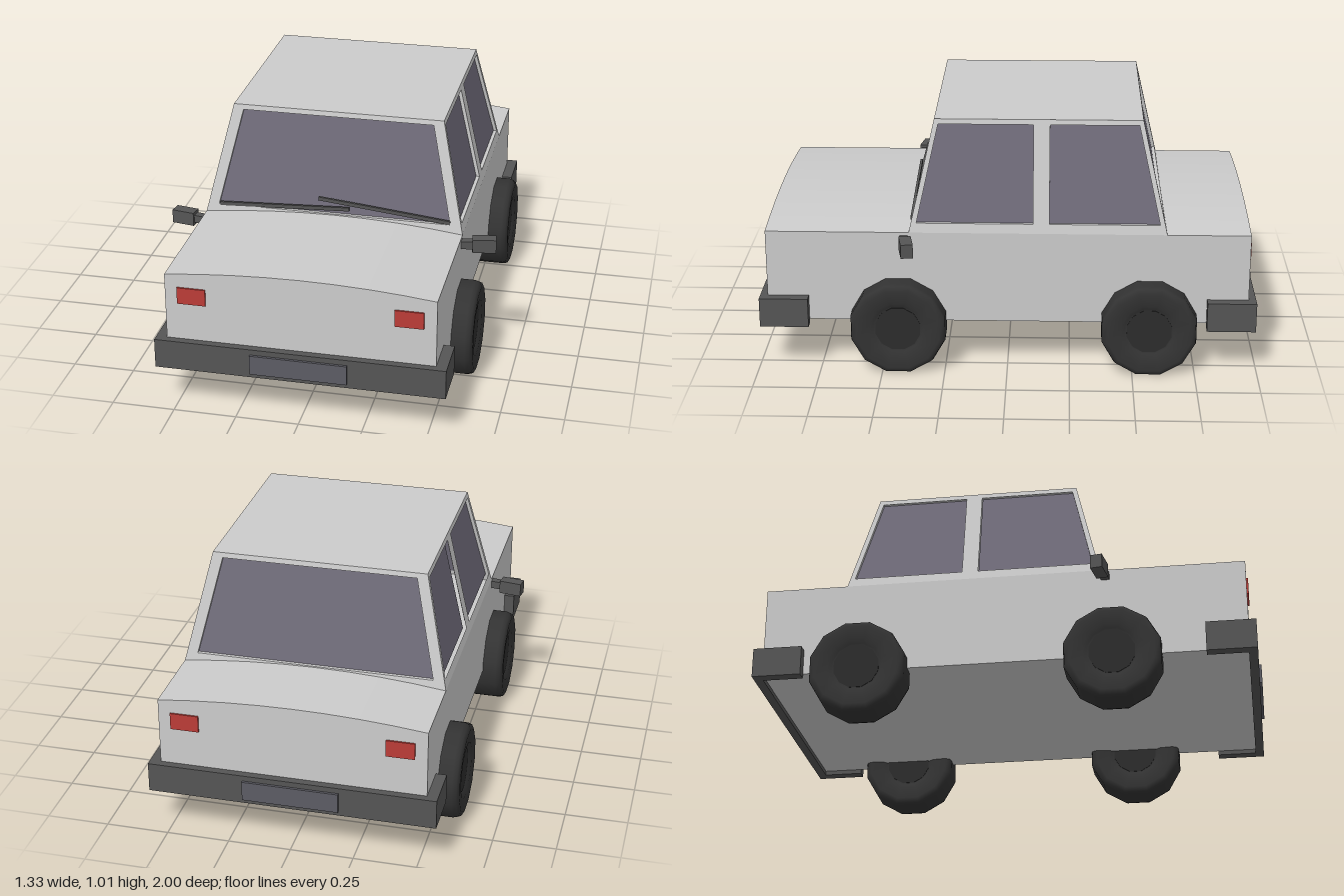
import * as THREE from 'three';

const mat = (color, flatShading = true) => new THREE.MeshStandardMaterial({ color, flatShading });

export function createModel() {
  const car = new THREE.Group();
  car.name = 'car';
  const paint = mat(0xcccccc), trim = mat(0x555555), plateMat = mat(0x5c5c64);
  const glass = mat(0x706c7a), red = mat(0xbb3c37), rubber = mat(0x333333, false), hubMat = mat(0x2c2c2c);

  const add = (name, geo, material, parent = car) => {
    const m = new THREE.Mesh(geo, material);
    m.name = name;
    parent.add(m);
    return m;
  };
  // box given by its minimum and maximum on each axis
  const box = (name, [x0, x1], [y0, y1], [z0, z1], material, parent) => {
    const m = add(name, new THREE.BoxGeometry(x1 - x0, y1 - y0, z1 - z0), material, parent);
    m.position.set((x0 + x1) / 2, (y0 + y1) / 2, (z0 + z1) / 2);
    return m;
  };
  const polygon = (pts) => new THREE.Shape(pts.map(([x, y]) => new THREE.Vector2(x, y)));

  // lower body with a gently crowned top
  const section = new THREE.Shape();
  section.moveTo(-0.527, 0.2);
  section.lineTo(0.527, 0.2);
  section.lineTo(0.527, 0.575);
  section.quadraticCurveTo(0, 0.637, -0.527, 0.575);
  section.closePath();
  const bodyGeo = new THREE.ExtrudeGeometry(section, { depth: 1.92, bevelEnabled: false, curveSegments: 8 });
  add('body', bodyGeo.translate(0, 0, -0.96), paint);

  // cabin: leaning panels with window openings and recessed glass
  const BASE = 0.575, TOP = 1.015, LEAN = 0.1 / (TOP - BASE), DEPTH = 0.02;
  const cabin = new THREE.Group();
  cabin.name = 'cabin';
  car.add(cabin);
  const panel = (name, angle, offset, outline, windows) => {
    const group = new THREE.Group();
    group.name = name;
    group.rotation.y = angle;
    cabin.add(group);
    const lean = new THREE.Matrix4().set(1, 0, 0, 0, 0, 1, 0, 0, 0, -LEAN, 1, offset + LEAN * BASE, 0, 0, 0, 1);
    const frame = polygon(outline);
    windows.forEach((w) => frame.holes.push(polygon(w)));
    const frameGeo = new THREE.ExtrudeGeometry(frame, { depth: DEPTH, bevelEnabled: false });
    add(name + 'Frame', frameGeo.translate(0, 0, -DEPTH).applyMatrix4(lean), paint, group);
    windows.forEach((w) => {
      const pane = new THREE.ExtrudeGeometry(polygon(w), { depth: 0.006, bevelEnabled: false });
      add(name + 'Glass', pane.translate(0, 0, -DEPTH).applyMatrix4(lean), glass, group);
    });
  };
  const endOutline = [[-0.527, BASE], [0.527, BASE], [0.427, TOP], [-0.427, TOP]];
  const endWindow = [[-0.475, 0.61], [0.475, 0.61], [0.387, 0.995], [-0.387, 0.995]];
  panel('windscreen', 0, 0.39, endOutline, [endWindow]);
  panel('rearWindow', Math.PI, 0.63, endOutline, [endWindow]);
  for (const s of [1, -1]) {
    const along = (pts) => pts.map(([z, y]) => [-s * z, y]);
    panel(s > 0 ? 'leftSide' : 'rightSide', s * Math.PI / 2, 0.527,
      along([[0.39, BASE], [-0.63, BASE], [-0.53, TOP], [0.29, TOP]]),
      [along([[0.36, 0.612], [-0.1, 0.612], [-0.1, 0.995], [0.275, 0.995]]),
        along([[-0.165, 0.612], [-0.603, 0.612], [-0.517, 0.995], [-0.165, 0.995]])]);
  }
  box('roof', [-0.427, 0.427], [0.997, TOP], [-0.53, 0.29], paint, cabin);

  // wrap-around bumpers, plates and lights at both ends
  for (const s of [1, -1]) {
    const end = new THREE.Group();
    end.name = s > 0 ? 'frontEnd' : 'rearEnd';
    if (s < 0) end.rotation.y = Math.PI;
    car.add(end);
    const u = polygon([[-0.57, -0.99], [0.57, -0.99], [0.57, -0.795], [0.525, -0.795],
      [0.525, -0.955], [-0.525, -0.955], [-0.525, -0.795], [-0.57, -0.795]]);
    const bumper = new THREE.ExtrudeGeometry(u, { depth: 0.12, bevelEnabled: false });
    add('bumper', bumper.rotateX(-Math.PI / 2).translate(0, 0.182, 0), trim, end);
    box('plate', [-0.19, 0.19], [0.2, 0.28], [0.985, 1], plateMat, end);
    for (const x of [-0.4225, 0.4225]) {
      box('light', [x - 0.056, x + 0.056], [0.457, 0.525], [0.95, 0.967], red, end);
    }
  }

  // twelve-sided tyres with dished faces
  const profile = [[0.085, -0.065], [0.1, -0.065], [0.115, -0.078], [0.17, -0.083], [0.19, -0.072], [0.195, -0.055],
    [0.195, 0.055], [0.19, 0.072], [0.17, 0.083], [0.115, 0.078], [0.1, 0.065], [0.085, 0.065]];
  const tyreGeo = new THREE.LatheGeometry(profile.map(([r, y]) => new THREE.Vector2(r, y)), 12, Math.PI / 12);
  tyreGeo.rotateZ(Math.PI / 2);
  const hubGeo = new THREE.CylinderGeometry(0.092, 0.092, 0.134, 12, 1, false, Math.PI / 12).rotateZ(Math.PI / 2);
  for (const s of [1, -1]) {
    for (const z of [0.435, -0.565]) {
      const wheel = new THREE.Group();
      wheel.name = (z > 0 ? 'front' : 'rear') + (s > 0 ? 'Left' : 'Right') + 'Wheel';
      wheel.position.set(s * 0.528, 0.19, z);
      add('tyre', tyreGeo, rubber, wheel);
      add('hub', hubGeo, hubMat, wheel);
      car.add(wheel);
    }
    // door mirror, angled a little backwards
    const mirror = new THREE.Group();
    mirror.name = s > 0 ? 'leftMirror' : 'rightMirror';
    mirror.position.set(s * 0.527, 0.547, 0.41);
    mirror.rotation.y = s * 0.17;
    box('arm', s > 0 ? [-0.02, 0.05] : [-0.05, 0.02], [-0.016, 0.016], [-0.016, 0.016], trim, mirror);
    box('housing', s > 0 ? [0.043, 0.137] : [-0.137, -0.043], [-0.028, 0.028], [-0.024, 0.024], trim, mirror);
    car.add(mirror);
  }

  // wiper blades
  for (const [x0, y0, x1, y1] of [[-0.47, 0.612, 0.065, 0.637], [0.475, 0.618, -0.06, 0.674]]) {
    const wiper = add('wiper', new THREE.BoxGeometry(Math.hypot(x1 - x0, y1 - y0), 0.015, 0.01), trim);
    wiper.position.set((x0 + x1) / 2, (y0 + y1) / 2, 0.38);
    wiper.rotation.z = Math.atan((y1 - y0) / (x1 - x0));
  }
  return car;
}
